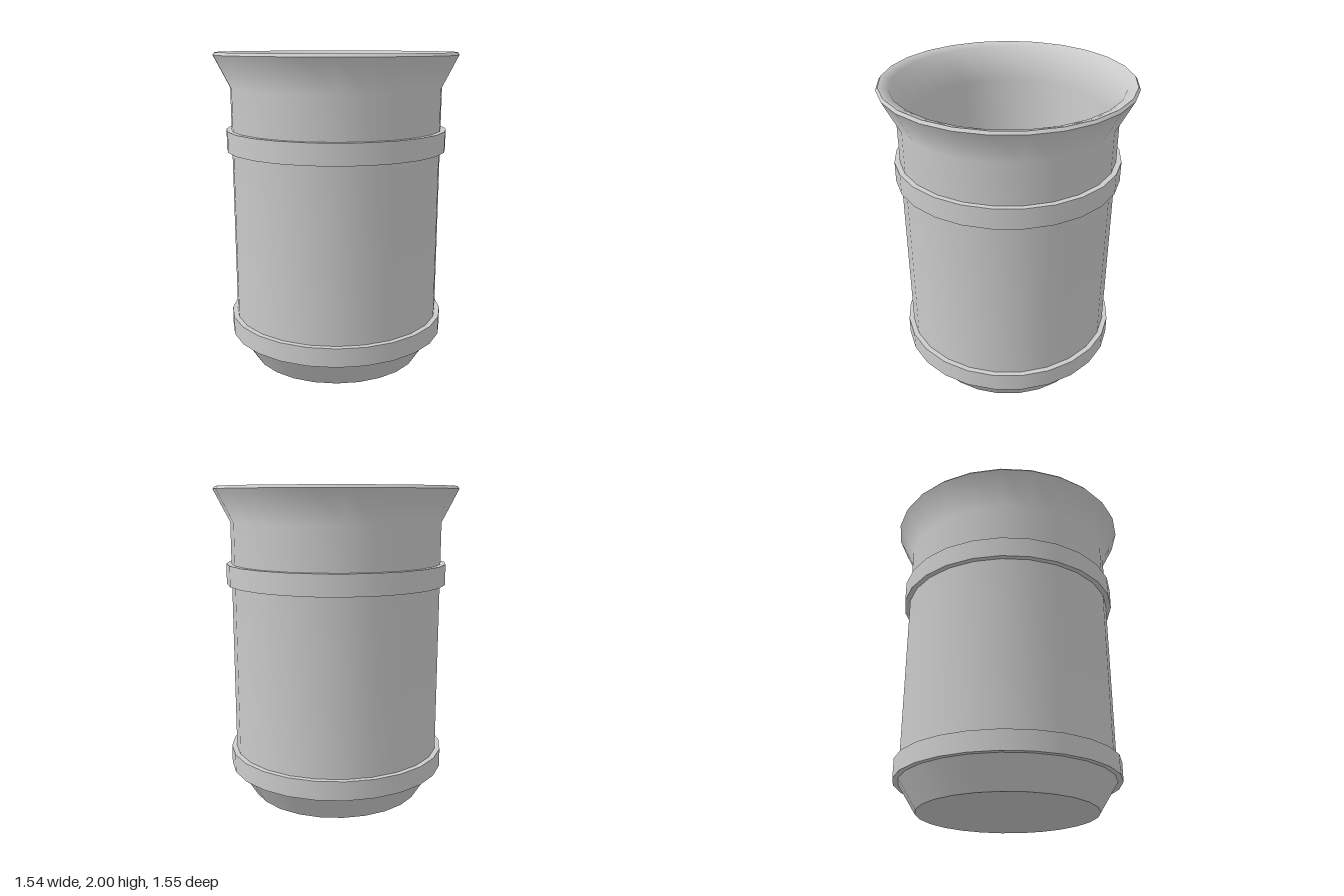
import * as THREE from 'three';

const SIDES = 25;
const material = new THREE.MeshStandardMaterial({ color: 0xcccccc });
const doubleSided = new THREE.MeshStandardMaterial({ color: 0xcccccc, side: THREE.DoubleSide });

// Revolve a [radius, height] profile, smooth within itself, with a corner on +x
function turned(name, profile) {
  const points = profile.map(([r, y]) => new THREE.Vector2(r, y));
  const mesh = new THREE.Mesh(new THREE.LatheGeometry(points, SIDES, Math.PI / 2), material);
  mesh.name = name;
  return mesh;
}

// Square-edged hoop around the body
function band(name, y0, y1) {
  const group = new THREE.Group();
  group.name = name;
  const corners = [[0.66, y0], [0.705, y0], [0.705, y1], [0.66, y1]];
  for (let i = 0; i < 3; i++) group.add(turned(`${name}Face`, [corners[i], corners[i + 1]]));
  return group;
}

export function createModel() {
  const model = new THREE.Group();
  model.name = 'pot';

  // Outer shell: foot, tapered base, straight body flaring into the lip
  model.add(turned('footRing', [[0.51, 0], [0.56, 0]]));
  model.add(turned('taperedBase', [[0.56, 0], [0.672, 0.18]]));
  model.add(turned('outerWall', [[0.672, 0.18], [0.672, 1.78], [0.775, 1.983]]));

  // Bevelled rim, then the inside running down to the floor
  model.add(turned('rim', [[0.775, 1.983], [0.762, 2]]));
  model.add(turned('innerWall', [[0.762, 2], [0.7, 1.98], [0.6, 1.78], [0.6, 0.18]]));
  model.add(turned('innerTaper', [[0.6, 0.18], [0.51, 0]]));

  // Floor
  const floor = new THREE.Mesh(new THREE.CircleGeometry(0.51, SIDES).rotateX(-Math.PI / 2), doubleSided);
  floor.name = 'floor';
  model.add(floor);

  // Hoops
  model.add(band('lowerBand', 0.18, 0.3));
  model.add(band('upperBand', 1.39, 1.52));

  // Centre the odd-sided outline on x
  for (const part of model.children) part.position.x = -0.003;
  return model;
}
